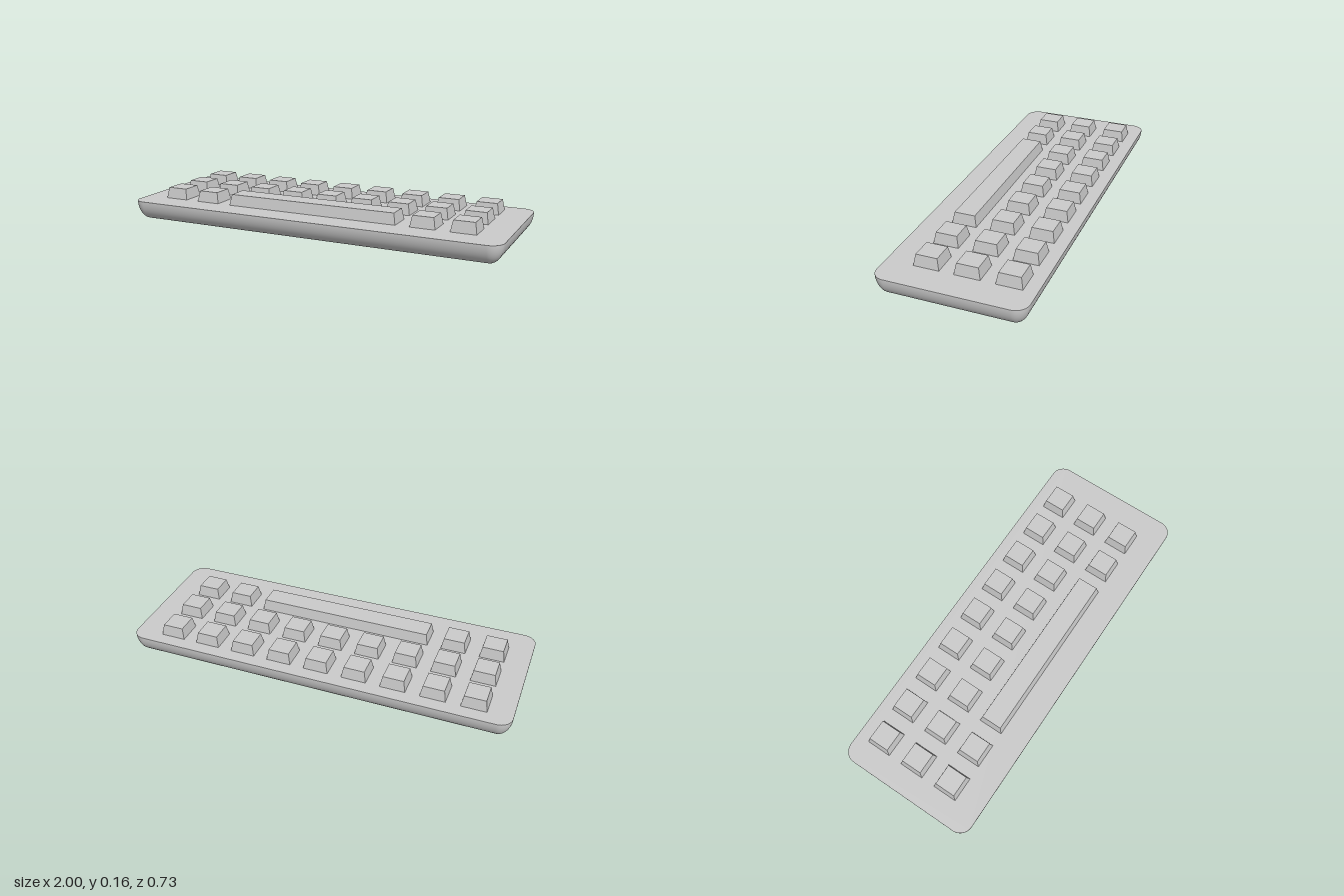
import * as THREE from 'three';

const material = new THREE.MeshStandardMaterial({ color: 0xcccccc });

const HX = 0.933, HZ = 0.3;      // half size of the flat bottom
const R = 0.067, H = 0.1;        // side bulge and body height
const ARC = 12, LAYERS = 14;     // segments per corner and up the side

function addMesh(parent, geometry, name) {
  const mesh = new THREE.Mesh(geometry, material);
  mesh.name = name;
  parent.add(mesh);
  return mesh;
}

// Curved side wall: rounded-rectangle loops that grow along a quarter ellipse
function wallGeometry() {
  const positions = [], normals = [], index = [];
  const n = 4 * (ARC + 1);
  const normal = new THREE.Vector3();
  for (let j = 0; j <= LAYERS; j++) {
    const a = (j / LAYERS) * Math.PI / 2;
    const r = R * Math.sin(a), y = H * (1 - Math.cos(a));
    for (let q = 0; q < 4; q++) {
      const sx = q === 0 || q === 3 ? 1 : -1;
      const sz = q < 2 ? 1 : -1;
      for (let k = 0; k <= ARC; k++) {
        const t = (q + k / ARC) * Math.PI / 2;
        const c = Math.cos(t), s = Math.sin(t);
        positions.push(sx * HX + r * c, y, sz * HZ + r * s);
        normal.set(c * Math.sin(a) / R, -Math.cos(a) / H, s * Math.sin(a) / R).normalize();
        normals.push(normal.x, normal.y, normal.z);
      }
    }
  }
  for (let j = 0; j < LAYERS; j++) {
    for (let i = 0; i < n; i++) {
      const a = j * n + i, b = j * n + (i + 1) % n;
      index.push(a, a + n, b, b, a + n, b + n);
    }
  }
  const g = new THREE.BufferGeometry();
  g.setAttribute('position', new THREE.Float32BufferAttribute(positions, 3));
  g.setAttribute('normal', new THREE.Float32BufferAttribute(normals, 3));
  g.setIndex(index);
  return g;
}

// Flat deck with rounded corners
function deckGeometry() {
  const shape = new THREE.Shape();
  shape.absarc(HX, HZ, R, 0, Math.PI / 2);
  shape.absarc(-HX, HZ, R, Math.PI / 2, Math.PI);
  shape.absarc(-HX, -HZ, R, Math.PI, Math.PI * 1.5);
  shape.absarc(HX, -HZ, R, Math.PI * 1.5, Math.PI * 2);
  return new THREE.ShapeGeometry(shape, ARC).rotateX(-Math.PI / 2).translate(0, H, 0);
}

// Keycap: a box whose top edges are pulled inwards
function keyGeometry(width) {
  const depth = 0.128, height = 0.057, inset = 0.0105;
  const g = new THREE.BoxGeometry(width, height, depth).translate(0, height / 2, 0);
  const p = g.attributes.position;
  for (let i = 0; i < p.count; i++) {
    if (p.getY(i) < height / 2) continue;
    p.setX(i, p.getX(i) - Math.sign(p.getX(i)) * inset);
    p.setZ(i, p.getZ(i) - Math.sign(p.getZ(i)) * inset);
  }
  g.computeVertexNormals();
  return g;
}

export function createModel() {
  const model = new THREE.Group();
  model.name = 'keyboard';

  const body = new THREE.Group();
  body.name = 'body';
  model.add(body);
  addMesh(body, wallGeometry(), 'sideWall');
  addMesh(body, deckGeometry(), 'deck');
  addMesh(body, new THREE.PlaneGeometry(2 * HX, 2 * HZ).rotateX(Math.PI / 2), 'bottom');

  // Three rows of nine columns; the space bar replaces the middle of the front row
  const keys = new THREE.Group();
  keys.name = 'keys';
  keys.position.set(-0.012, H, -0.036);
  model.add(keys);
  const key = keyGeometry(0.128);
  for (let row = -1; row <= 1; row++) {
    for (let col = -4; col <= 4; col++) {
      if (row === 1 && Math.abs(col) < 3) continue;
      addMesh(keys, key, 'key').position.set(col * 0.2, 0, row * 0.2);
    }
  }
  addMesh(keys, keyGeometry(0.928), 'spaceBar').position.z = 0.2;

  return model;
}
